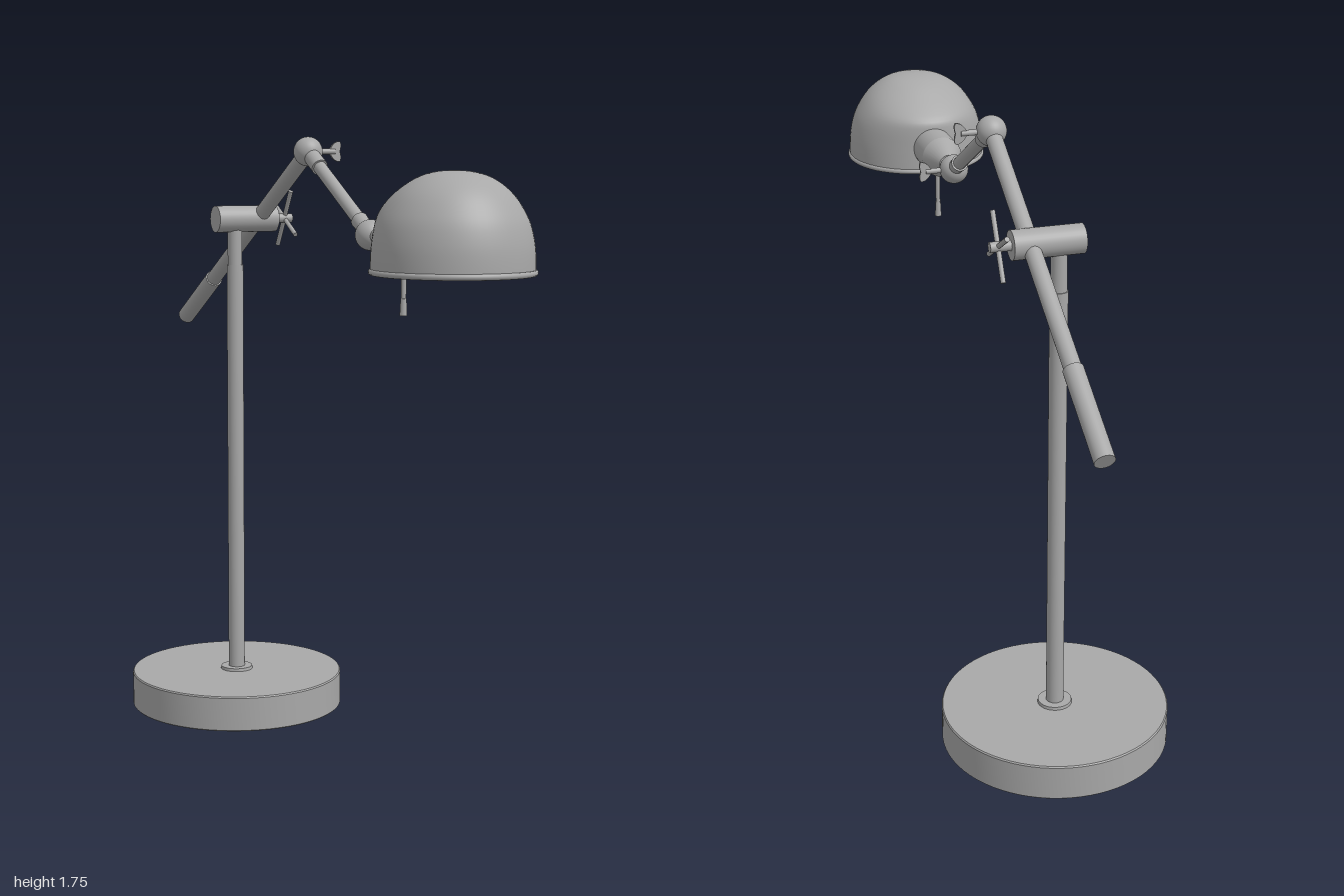
import * as THREE from 'three';
import { mergeVertices, toCreasedNormals } from 'three/addons/utils/BufferGeometryUtils.js';

const metal = new THREE.MeshStandardMaterial({ color: 0xa8a8a8 });
metal.name = 'greyMetal';
const metalOpen = new THREE.MeshStandardMaterial({ color: 0xa8a8a8, side: THREE.DoubleSide });
metalOpen.name = 'greyMetalSheet';

const V = (x, y, z) => new THREE.Vector3(x, y, z);
const ARM_X = 0.08;

function add(parent, name, geometry, position, material = metal) {
  const mesh = new THREE.Mesh(geometry, material);
  mesh.name = name;
  if (position) mesh.position.copy(position);
  parent.add(mesh);
  return mesh;
}

// Round bar between two points, r0 at the start and r1 at the end
function rod(parent, name, a, b, r0, r1 = r0, sides = 32) {
  const dir = b.clone().sub(a);
  const mesh = add(parent, name, new THREE.CylinderGeometry(r1, r0, dir.length(), sides),
    a.clone().add(b).multiplyScalar(0.5));
  mesh.quaternion.setFromUnitVectors(V(0, 1, 0), dir.normalize());
  return mesh;
}

// Ball joint with a thumb screw on its left side
function joint(parent, name, center) {
  const g = new THREE.Group();
  g.name = name;
  g.position.copy(center);
  parent.add(g);
  add(g, 'ball', new THREE.SphereGeometry(0.042, 32, 20));
  rod(g, 'screwStem', V(0.03, 0, 0), V(0.085, 0, 0), 0.008, 0.008, 16);
  const wing = new THREE.Shape();
  wing.moveTo(0.07, -0.008);
  wing.quadraticCurveTo(0.083, -0.03, 0.1, -0.029);
  wing.quadraticCurveTo(0.107, -0.02, 0.1, 0);
  wing.quadraticCurveTo(0.107, 0.02, 0.1, 0.029);
  wing.quadraticCurveTo(0.083, 0.03, 0.07, 0.008);
  const plate = new THREE.ExtrudeGeometry(wing, { depth: 0.008, bevelEnabled: false, curveSegments: 8 });
  add(g, 'screwWing', plate.translate(0, 0, -0.004));
}

// Dome whose back bulges out into a shoulder for the socket
function shadeGeometry() {
  const front = [[0.206, 1.41], [0.205, 1.45], [0.201, 1.49], [0.190, 1.535], [0.172, 1.572],
    [0.148, 1.606], [0.118, 1.633], [0.082, 1.653], [0.042, 1.663], [0.0001, 1.666]];
  const back = [[0.208, 1.41], [0.208, 1.45], [0.208, 1.49], [0.208, 1.535], [0.203, 1.563],
    [0.176, 1.588], [0.135, 1.617], [0.09, 1.645], [0.045, 1.661], [0.0001, 1.666]];
  const curve = (pts) => new THREE.SplineCurve(pts.map((p) => new THREE.Vector2(...p))).getPoints(27);
  const f = curve(front), b = curve(back);
  const geo = new THREE.LatheGeometry(f, 64);
  const pos = geo.attributes.position;
  for (let i = 0; i < pos.count; i++) {
    const j = i % f.length, angle = Math.floor(i / f.length) / 64 * Math.PI * 2;
    const w = Math.max(0, -Math.cos(angle)) ** 2;
    const r = THREE.MathUtils.lerp(f[j].x, b[j].x, w);
    const y = THREE.MathUtils.lerp(f[j].y, b[j].y, w);
    pos.setXYZ(i, Math.sin(angle) * r, y, Math.cos(angle) * r * 1.02);
  }
  geo.deleteAttribute('uv');
  geo.deleteAttribute('normal');
  const merged = mergeVertices(geo, 1e-5);
  merged.computeVertexNormals();
  return merged;
}

export function createModel() {
  const lamp = new THREE.Group();
  lamp.name = 'deskLamp';

  // Stand: weighted base, flange and pole
  const stand = new THREE.Group();
  stand.name = 'stand';
  stand.position.z = -0.39;
  lamp.add(stand);
  const baseProfile = [[0, 0], [0.322, 0], [0.325, 0.003], [0.325, 0.102], [0.322, 0.106], [0, 0.106]]
    .map((p) => new THREE.Vector2(...p));
  add(stand, 'base', toCreasedNormals(new THREE.LatheGeometry(baseProfile, 72), 0.6));
  rod(stand, 'flange', V(0, 0.1, 0), V(0, 0.115, 0), 0.05, 0.048);
  rod(stand, 'pole', V(0, 0.1, 0), V(0, 1.37, 0), 0.025);
  rod(stand, 'poleTop', V(0, 1.37, 0), V(0, 1.49, 0), 0.022);

  // Cross clamp holding the arm, with a four-armed handle
  const clamp = new THREE.Group();
  clamp.name = 'clamp';
  clamp.position.set(0, 1.508, -0.39);
  lamp.add(clamp);
  rod(clamp, 'clampBody', V(-0.064, 0, 0), V(0.131, 0, 0), 0.04);
  rod(clamp, 'handleStem', V(0.13, 0, 0), V(0.188, 0, 0), 0.014, 0.014, 20);
  for (const a of [Math.PI / 3, -Math.PI / 6]) {
    const d = V(0, Math.sin(a), Math.cos(a)).multiplyScalar(0.095);
    rod(clamp, 'handleBar', d.clone().negate().setX(0.165), d.clone().setX(0.165), 0.007, 0.007, 12);
  }

  // Arms between the joints
  const elbow = V(ARM_X, 1.71, -0.045);
  const wrist = V(ARM_X, 1.488, 0.345);
  const tail = V(ARM_X, 1.165, -0.9865);
  const along = (a, b, t) => a.clone().lerp(b, t);
  rod(lamp, 'upperArm', elbow, along(elbow, tail, 0.8), 0.023);
  rod(lamp, 'counterGrip', along(elbow, tail, 0.745), tail, 0.027);
  rod(lamp, 'lowerArm', elbow, wrist, 0.019);
  rod(lamp, 'lowerArmCollar', elbow, along(elbow, wrist, 0.2), 0.024);
  rod(lamp, 'lowerArmCollar', along(elbow, wrist, 0.83), wrist, 0.024, 0.02);
  joint(lamp, 'elbowJoint', elbow);
  joint(lamp, 'wristJoint', wrist);

  // Socket turned around the z axis, with neck and pull switch
  const head = new THREE.Group();
  head.name = 'head';
  head.position.x = ARM_X;
  lamp.add(head);
  rod(head, 'neck', V(0, 1.487, 0.36), V(0, 1.485, 0.42), 0.02);
  rod(head, 'socketCone', V(0, 1.485, 0.405), V(0, 1.485, 0.478), 0.027, 0.06);
  rod(head, 'socket', V(0, 1.485, 0.478), V(0, 1.485, 0.59), 0.06);
  rod(head, 'bulbNeck', V(0, 1.485, 0.58), V(0, 1.485, 0.66), 0.04);
  add(head, 'bulb', new THREE.SphereGeometry(0.076, 32, 20), V(0, 1.484, 0.705));
  rod(head, 'switchStem', V(0, 1.3, 0.535), V(0, 1.45, 0.535), 0.007, 0.007, 12);
  rod(head, 'switchTip', V(0, 1.285, 0.535), V(0, 1.33, 0.535), 0.01, 0.008, 12);

  // Shade with a rolled rim
  add(head, 'shade', shadeGeometry(), V(0.003, 0, 0.785), metalOpen);
  const rim = add(head, 'shadeRim', new THREE.TorusGeometry(0.205, 0.008, 12, 72), V(0.003, 1.414, 0.785));
  rim.rotation.x = Math.PI / 2;
  rim.scale.set(0.99, 1.02, 1);

  return lamp;
}
